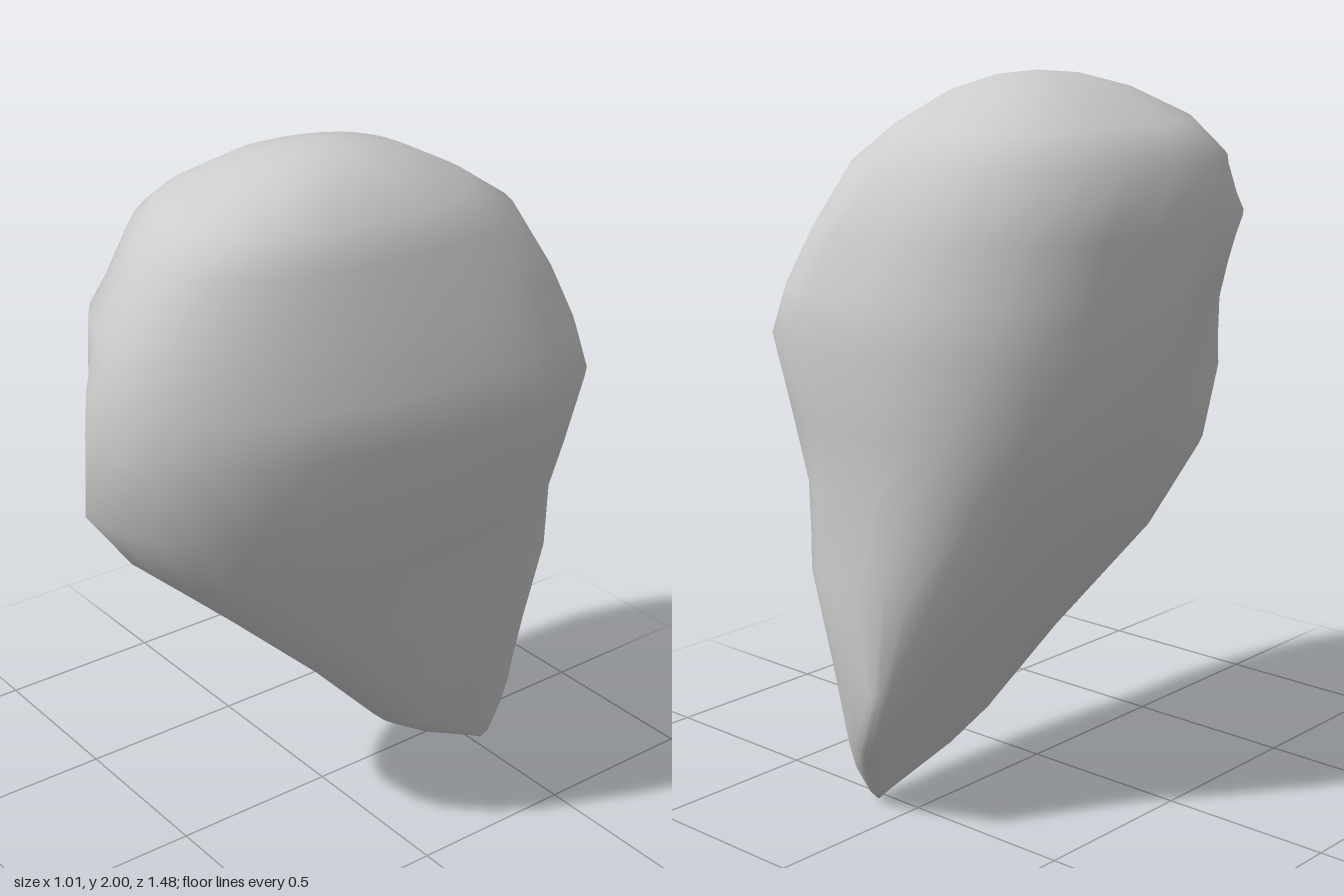
import * as THREE from 'three';

// Horizontal sections: y, left x/z, right x/z, front x/z, back x/z, front-left roundness
const SECTIONS = [
  [0.03, 0.10, -0.52, 0.15, -0.52, 0.12, -0.48, 0.12, -0.56, 2],
  [0.12, 0.04, -0.45, 0.18, -0.45, 0.08, -0.28, 0.10, -0.62, 2.2],
  [0.20, 0.00, -0.44, 0.21, -0.42, 0.06, -0.15, 0.06, -0.66, 2.5],
  [0.42, -0.13, -0.48, 0.28, -0.35, 0.05, 0.06, -0.06, -0.74, 3],
  [0.70, -0.28, -0.22, 0.34, -0.28, 0.02, 0.36, 0.11, -0.72, 3],
  [0.92, -0.40, -0.12, 0.40, -0.25, -0.05, 0.61, 0.10, -0.70, 1.8],
  [1.10, -0.46, -0.08, 0.46, -0.27, -0.06, 0.74, 0.12, -0.71, 1.35],
  [1.32, -0.50, -0.02, 0.505, -0.29, -0.04, 0.74, 0.20, -0.72, 1.3],
  [1.45, -0.505, 0.02, 0.48, -0.25, -0.02, 0.73, 0.18, -0.69, 1.45],
  [1.60, -0.505, 0.08, 0.42, -0.19, 0.00, 0.68, 0.14, -0.64, 1.85],
  [1.78, -0.50, 0.17, 0.355, -0.10, 0.00, 0.58, 0.05, -0.56, 1.4],
  [1.87, -0.38, 0.08, 0.30, -0.05, 0.00, 0.48, 0.00, -0.43, 1.8],
  [1.95, -0.24, 0.03, 0.20, 0.00, 0.00, 0.28, 0.00, -0.27, 2],
  [1.987, -0.11, 0.01, 0.10, 0.00, 0.00, 0.14, 0.00, -0.13, 2],
];
const SIDES = 32;

// Point on a section: four superelliptic quarters joining its extreme points
function sectionPoint([y, xl, zl, xr, zr, xf, zf, xb, zb, roundFL], t) {
  const c = Math.cos(t), s = Math.sin(t);
  const right = c >= 0, front = s >= 0;
  const [xs, zs] = right ? [xr, zr] : [xl, zl];
  const [xe, ze] = front ? [xf, zf] : [xb, zb];
  const roundFR = THREE.MathUtils.lerp(2.9, 2.25, THREE.MathUtils.smoothstep(y, 0.7, 1.15));
  const p = front ? (right ? roundFR : roundFL) : (right ? 2.1 : 2.5);
  const a = Math.pow(Math.abs(c), 2 / p), b = Math.pow(Math.abs(s), 2 / p);
  return [xe + (xs - xe) * a, y, zs + (ze - zs) * b];
}

function stoneGeometry() {
  const positions = [], index = [];
  for (const section of SECTIONS)
    for (let j = 0; j < SIDES; j++)
      positions.push(...sectionPoint(section, (j / SIDES) * Math.PI * 2));

  // Skin between neighbouring sections
  const last = SECTIONS.length - 1;
  const bottom = SECTIONS.length * SIDES, top = bottom + 1;
  positions.push(0.125, 0, -0.53, 0, 2, 0);
  for (let j = 0; j < SIDES; j++) {
    const k = (j + 1) % SIDES;
    for (let i = 0; i < last; i++) {
      const a = i * SIDES + j, b = i * SIDES + k;
      index.push(a, a + SIDES, b, b, a + SIDES, b + SIDES);
    }
    // Lower tip and crown
    index.push(bottom, j, k);
    index.push(last * SIDES + j, top, last * SIDES + k);
  }

  const geometry = new THREE.BufferGeometry();
  geometry.setAttribute('position', new THREE.Float32BufferAttribute(positions, 3));
  geometry.setIndex(index);
  geometry.computeVertexNormals();
  return geometry;
}

export function createModel() {
  const group = new THREE.Group();
  group.name = 'stone';
  const grey = new THREE.MeshStandardMaterial({ color: 0xcccccc });
  grey.name = 'stone grey';
  const body = new THREE.Mesh(stoneGeometry(), grey);
  body.name = 'stoneBody';
  group.add(body);
  return group;
}
